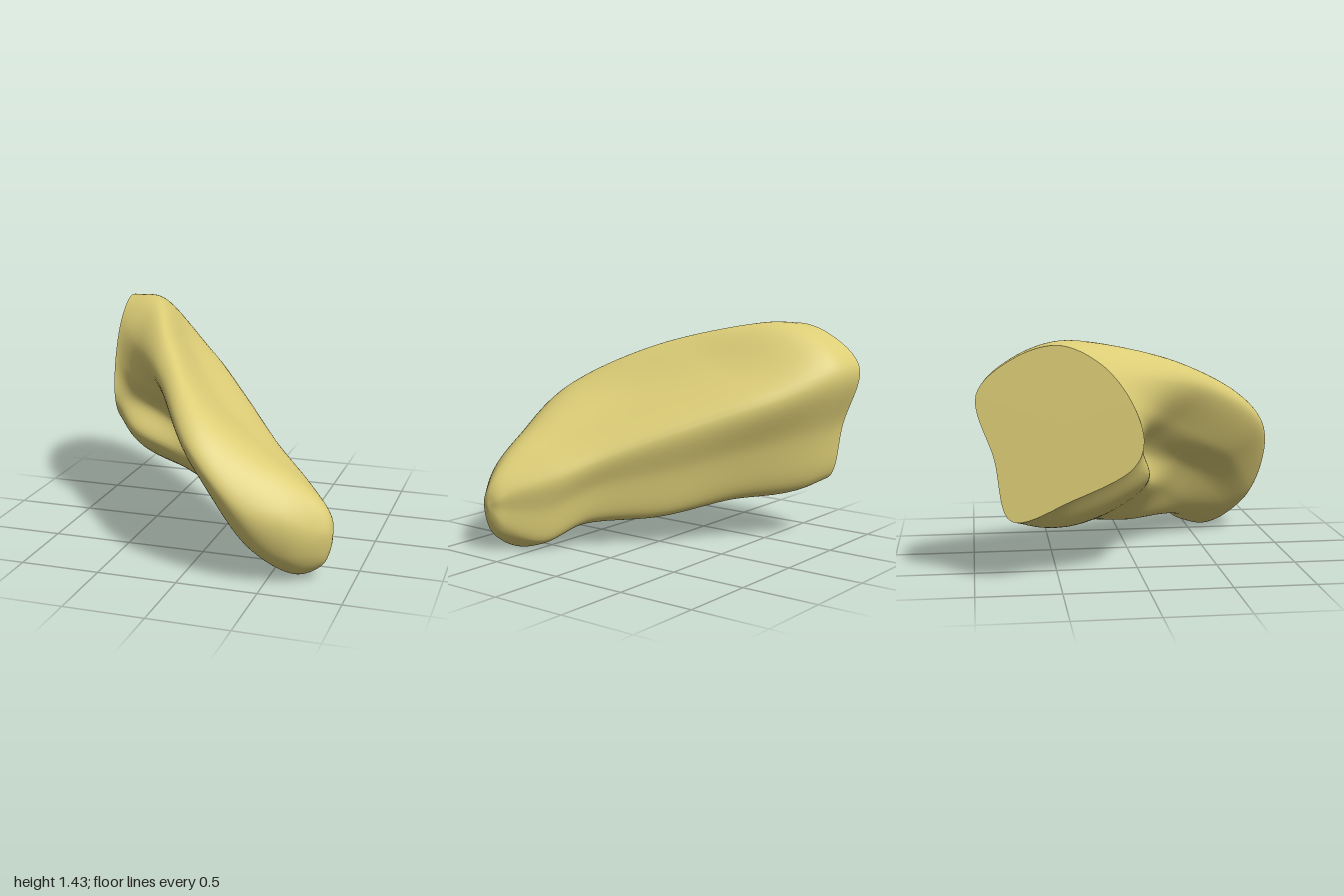
import * as THREE from 'three';

// Cross-sections: x, then (z, y) of crest, top, back edge, keel back, keel front, flange, groove, overhang, front edge
const SECTIONS = [
  [-0.87, -0.5, 1.41, -0.76, 1.34, -0.97, 1.14, -0.78, 0.39, -0.42, 0.5, -0.06, 0.68, 0, 0.83, -0.08, 1.08, -0.26, 1.3],
  [-0.65, -0.38, 1.42, -0.7, 1.34, -0.94, 1.12, -0.71, 0.35, -0.45, 0.32, 0.04, 0.6, 0, 0.8, 0.04, 1, -0.02, 1.22],
  [-0.3, 0.25, 1.26, -0.2, 1.13, -0.68, 0.97, -0.42, 0.31, -0.23, 0.27, 0.1, 0.48, 0.07, 0.69, 0.26, 0.87, 0.46, 1.09],
  [0.05, 0.72, 0.99, 0.25, 0.92, -0.28, 0.8, -0.11, 0.22, 0.04, 0.18, 0.25, 0.36, 0.4, 0.53, 0.71, 0.59, 0.91, 0.79],
  [0.4, 0.78, 0.74, 0.46, 0.72, 0.14, 0.61, 0.25, 0.19, 0.37, 0.13, 0.55, 0.12, 0.75, 0.16, 0.91, 0.27, 0.98, 0.5],
  [0.64, 0.75, 0.6, 0.58, 0.59, 0.37, 0.48, 0.44, 0.07, 0.53, 0.02, 0.64, 0, 0.76, 0.05, 0.87, 0.19, 0.905, 0.42],
  [0.81, 0.72, 0.46, 0.65, 0.46, 0.57, 0.39, 0.6, 0.16, 0.64, 0.11, 0.69, 0.09, 0.74, 0.12, 0.78, 0.21, 0.79, 0.34],
];
const STEPS = 90, AROUND = 90;

// Points of one section, with a midpoint added on the flat back
function sectionPoints([x, ...zy]) {
  const p = [];
  for (let k = 0; k < zy.length; k += 2) p.push(new THREE.Vector3(x, zy[k + 1], zy[k]));
  p.splice(3, 0, p[2].clone().lerp(p[3], 0.5));
  return p;
}

// Smooth slices: lengthwise rails, then a closed curve through the rails
function makeRings() {
  const sections = SECTIONS.map(sectionPoints);
  for (const p of sections[0]) p.x = -0.893 + 0.077 * (p.z + 1) + 0.051 * (1.41 - p.y); // slanted cut plane

  // Front tip: the last section shrinks towards its middle
  const last = sections[sections.length - 1];
  for (const [x, scale] of [[0.856, 0.55], [0.873, 0.06]]) {
    const middle = new THREE.Vector3(x, 0.3, 0.7);
    sections.push(last.map((p) => middle.clone().lerp(new THREE.Vector3(x, p.y, p.z), scale)));
  }

  const rails = last.map((_, k) => new THREE.CatmullRomCurve3(sections.map((s) => s[k])));
  return Array.from({ length: STEPS + 1 }, (_, i) => {
    const loop = new THREE.CatmullRomCurve3(rails.map((c) => c.getPoint(i / STEPS)), true);
    return Array.from({ length: AROUND }, (_, j) => loop.getPoint(j / AROUND));
  });
}

function centre(ring) {
  return ring.reduce((sum, p) => sum.add(p), new THREE.Vector3()).divideScalar(ring.length);
}

function toGeometry(points, index) {
  const g = new THREE.BufferGeometry().setFromPoints(points);
  g.setIndex(index);
  g.computeVertexNormals();
  return g;
}

export function createModel() {
  const group = new THREE.Group();
  const material = new THREE.MeshStandardMaterial({ color: 0xdccd76 });
  const rings = makeRings();

  // Rounded body with its closed front tip
  const points = rings.flat(), index = [];
  for (let i = 0; i < STEPS; i++) {
    for (let j = 0; j < AROUND; j++) {
      const a = i * AROUND + j, b = i * AROUND + ((j + 1) % AROUND);
      index.push(a, a + AROUND, b, b, a + AROUND, b + AROUND);
    }
  }
  points.push(centre(rings[STEPS]));
  for (let j = 0; j < AROUND; j++) {
    index.push(points.length - 1, STEPS * AROUND + ((j + 1) % AROUND), STEPS * AROUND + j);
  }
  const body = new THREE.Mesh(toGeometry(points, index), material);
  body.name = 'body';

  // Flat cut at the high end
  const capIndex = [];
  for (let j = 0; j < AROUND; j++) capIndex.push(AROUND, j, (j + 1) % AROUND);
  const cut = new THREE.Mesh(toGeometry([...rings[0], centre(rings[0])], capIndex), material);
  cut.name = 'flatCut';

  group.add(body, cut);
  return group;
}
